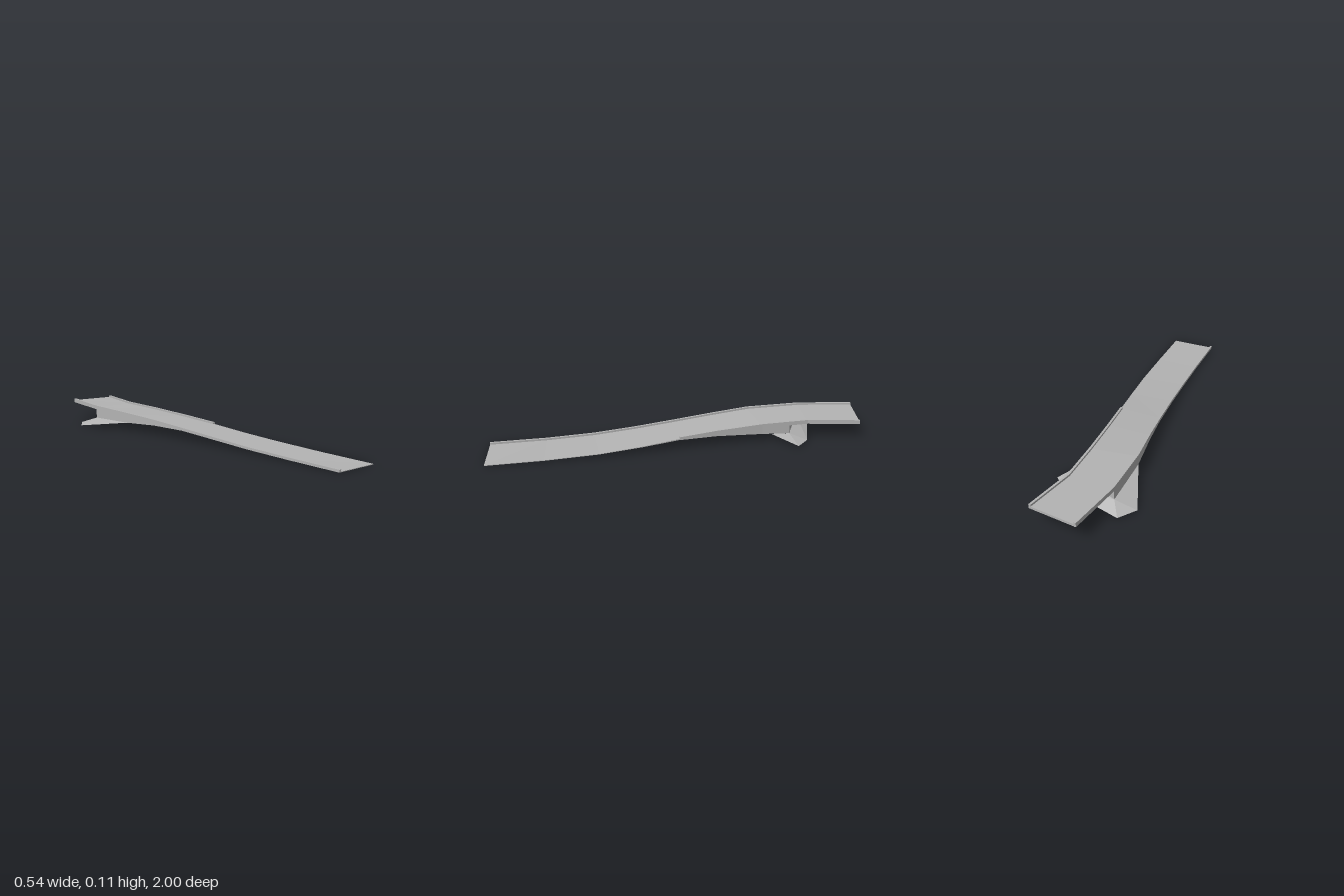
import * as THREE from 'three';

const concrete = new THREE.MeshStandardMaterial({ color: 0xb4b4b4, flatShading: true, side: THREE.DoubleSide });
concrete.name = 'concrete';

// Deck stations, front to back: left [x, y, z], right [x, y, z], slab thickness
const stations = [
  [[0.015, 0.006, 1], [0.266, 0.003, 1], 0.003],
  [[0.0, 0.012, 0.7], [0.25, 0.01, 0.7], 0.003],
  [[-0.02, 0.022, 0.45], [0.228, 0.022, 0.42], 0.003],
  [[-0.045, 0.04, 0.22], [0.198, 0.039, 0.2], 0.004],
  [[-0.075, 0.06, 0], [0.166, 0.06, 0], 0.006],
  [[-0.105, 0.078, -0.2], [0.137, 0.076, -0.2], 0.009],
  [[-0.14, 0.093, -0.41], [0.108, 0.091, -0.45], 0.012],
  [[-0.155, 0.1, -0.7], [0.091, 0.098, -0.7], 0.012],
  [[-0.123, 0.104, -1], [0.131, 0.102, -0.975], 0.013],
];

function meshFromTriangles(name, points) {
  const g = new THREE.BufferGeometry();
  g.setAttribute('position', new THREE.Float32BufferAttribute(points.flat(), 3));
  g.computeVertexNormals();
  const mesh = new THREE.Mesh(g, concrete);
  mesh.name = name;
  return mesh;
}

const quad = (a, b, c, d) => [a, b, c, a, c, d];

// Closed skin through four-cornered sections (bottom left, bottom right, top right, top left)
function loft(name, rings) {
  const pts = [];
  for (let i = 0; i < rings.length - 1; i++) {
    const a = rings[i], b = rings[i + 1];
    for (let j = 0; j < 4; j++) {
      const k = (j + 1) % 4;
      pts.push(...quad(a[j], b[j], b[k], a[k]));
    }
  }
  pts.push(...quad(...rings[0]), ...quad(...[...rings.at(-1)].reverse()));
  return meshFromTriangles(name, pts);
}

const raise = (p, dy, dx = 0) => [p[0] + dx, p[1] + dy, p[2]];

// Open sheet between two polylines of equal length
function sheet(name, upper, lower) {
  const pts = [];
  for (let i = 0; i < upper.length - 1; i++) {
    pts.push(...quad(upper[i], lower[i], lower[i + 1], upper[i + 1]));
  }
  return meshFromTriangles(name, pts);
}

export function createModel() {
  const model = new THREE.Group();
  model.name = 'rampBridge';

  // Road slab
  model.add(loft('deck', stations.map(([l, r, t]) => [raise(l, -t), raise(r, -t), r, l])));

  // Curbs: full length on the right-hand side, rear half only on the other
  const h = 0.01, w = 0.01;
  model.add(loft('rightCurb', stations.map(([l, , t]) => [
    raise(l, -t, -0.002), raise(l, -t, w), raise(l, h, w), raise(l, h, -0.002)])));
  model.add(loft('leftCurb', stations.slice(4).map(([, r, t]) => [
    raise(r, -t, -w), raise(r, -t, 0.002), raise(r, h, 0.002), raise(r, h, -w)])));

  // Abutment side walls, deepening towards the rear
  const rightTop = stations.slice(4, 8).map(([l, , t]) => raise(l, -t));
  const rightLow = [0.053, 0.055, 0.045, 0.037].map((y, i) => [rightTop[i][0], y, rightTop[i][2]]);
  const leftTop = [
    ...stations.slice(4, 7).map(([, r, t]) => raise(r, -t)), [0.098, 0.082, -0.6]];
  const leftLow = [0.053, 0.054, 0.043, 0.037].map((y, i) => [leftTop[i][0], y, leftTop[i][2]]);
  model.add(sheet('rightAbutmentWall', rightTop, rightLow));
  model.add(sheet('leftAbutmentWall', [...leftTop].reverse(), [...leftLow].reverse()));

  // Skewed end wall
  model.add(sheet('endWall', [rightTop[3], leftTop[3]], [rightLow[3], leftLow[3]]));

  // Embankment skirt spilling out behind and to both sides
  const crestR = rightLow[3], crestL = leftLow[3];
  const footR = [-0.27, 0.005, -0.69], footRB = [-0.21, 0.005, -0.78];
  const footLB = [0.125, 0.005, -0.695], footL = [0.198, 0.005, -0.63];
  model.add(meshFromTriangles('embankment', [
    rightLow[2], crestR, footR,
    footR, crestR, footRB,
    ...quad(crestR, crestL, footLB, footRB),
    crestL, footL, footLB,
    crestL, [0.107, 0.041, -0.5], footL,
  ]));

  return model;
}
